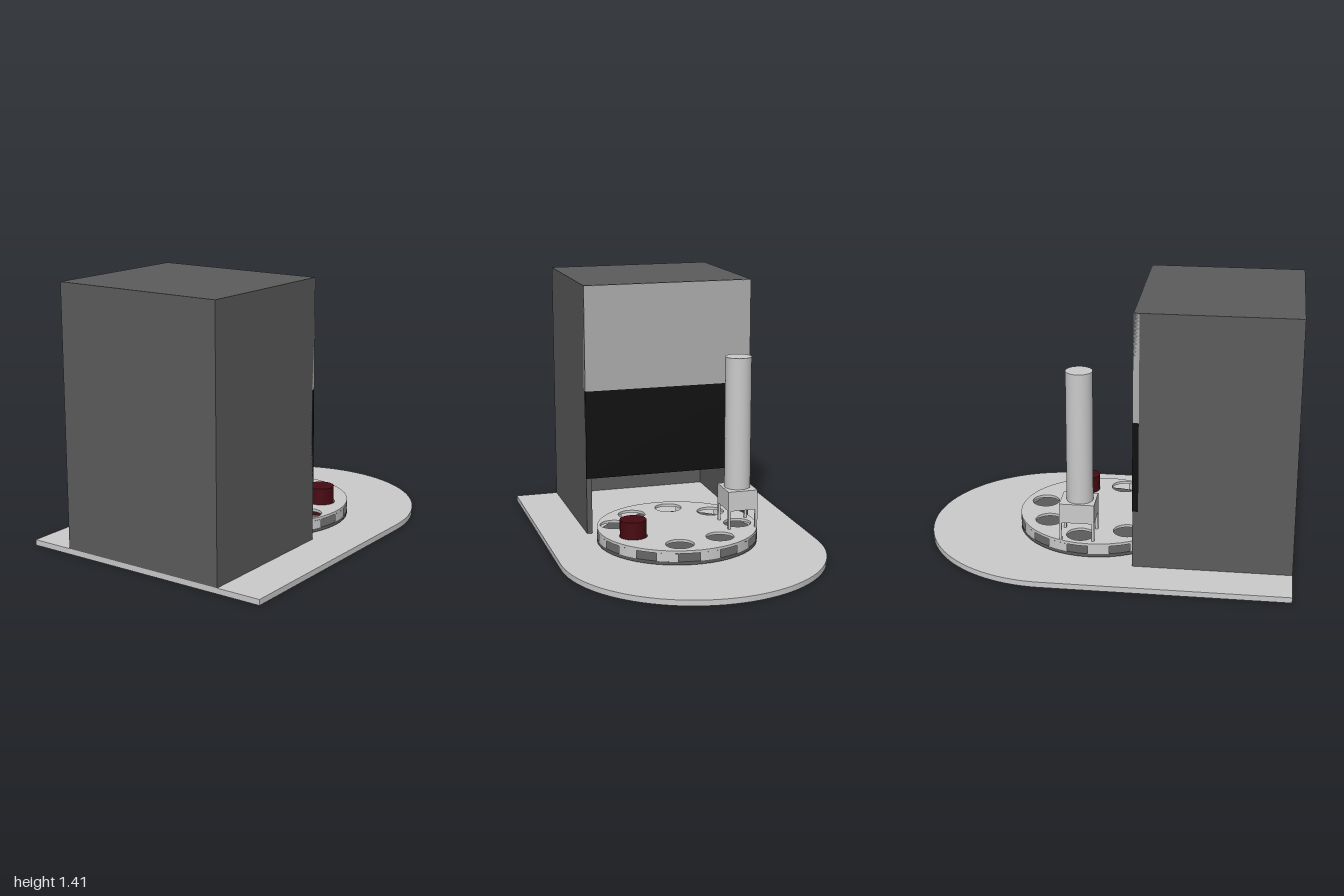
import * as THREE from 'three';

const paint = (color) => new THREE.MeshStandardMaterial({ color, side: THREE.DoubleSide });
const grey = paint(0xcccccc);
const dark = paint(0x5c5c5c);
const panelGrey = paint(0xacacac);
const black = paint(0x0f0f0f);
const red = paint(0x480a12);

function add(parent, name, geometry, material, x = 0, y = 0, z = 0) {
  const mesh = new THREE.Mesh(geometry, material);
  mesh.name = name;
  mesh.position.set(x, y, z);
  parent.add(mesh);
  return mesh;
}

// Box given by its minimum and maximum corners
function box(parent, name, material, [x0, y0, z0], [x1, y1, z1]) {
  return add(parent, name, new THREE.BoxGeometry(x1 - x0, y1 - y0, z1 - z0), material,
    (x0 + x1) / 2, (y0 + y1) / 2, (z0 + z1) / 2);
}

// Flat shape in (x, z) raised from y to y + height
function slab(parent, name, shape, material, y, height, x = 0, z = 0) {
  const geometry = new THREE.ExtrudeGeometry(shape, { depth: height, bevelEnabled: false, curveSegments: 24 });
  geometry.rotateX(-Math.PI / 2);
  return add(parent, name, geometry, material, x, y, z);
}

function createCabinet() {
  const g = new THREE.Group();
  g.name = 'cabinet';
  const x0 = -1, x1 = -0.165, y0 = 0.03, y1 = 1.41, z0 = -0.475, z1 = 0.468, t = 0.03;
  box(g, 'cabinetFrontWall', dark, [x0, y0, z1 - t], [x1, y1, z1]);
  box(g, 'cabinetRearWall', dark, [x0, y0, z0], [x1, y1, z0 + t]);
  box(g, 'cabinetEndWall', dark, [x0, y0, z0 + t], [x0 + t, y1, z1 - t]);
  box(g, 'cabinetRoof', dark, [x0 + t, y1 - t, z0 + t], [x1, y1, z1 - t]);
  // Panels facing the turntable, above the open bay
  box(g, 'upperPanel', panelGrey, [x1 - t, 0.835, z0], [x1 + 0.002, y1 - 0.002, z1]);
  box(g, 'displayPanel', black, [x1 - t, 0.345, z0], [x1 + 0.002, 0.835, z1]);
  return g;
}

function createTurntable() {
  const g = new THREE.Group();
  g.name = 'turntable';
  const cx = 0.075, cz = 0.022, r = 0.436;
  g.position.set(cx, 0, cz);
  add(g, 'turntableFloor', new THREE.CylinderGeometry(r, r, 0.018, 48), dark, 0, 0.047, 0);

  // Top plate with a ring of eight cup holes
  const plate = new THREE.Shape().absarc(0, 0, r, 0, Math.PI * 2, false);
  const holes = [[-0.11, -0.23], [0.133, -0.305], [0.33, -0.14], [0.39, 0.10],
    [0.187, 0.297], [-0.03, 0.35], [-0.18, 0.21], [-0.24, -0.02]];
  for (const [x, z] of holes) {
    plate.holes.push(new THREE.Path().absarc(x - cx, cz - z, 0.075, 0, Math.PI * 2, true));
  }
  slab(g, 'turntablePlate', plate, grey, 0.1, 0.015);

  // Rim panels with windows between them
  const count = 12, panel = THREE.MathUtils.degToRad(15);
  for (let i = 0; i < count; i++) {
    const middle = THREE.MathUtils.degToRad(67 + i * 30);
    add(g, 'rimPanel', new THREE.CylinderGeometry(r, r, 0.044, 3, 1, true, middle - panel / 2, panel),
      grey, 0, 0.078, 0);
  }
  return g;
}

function createDispenser() {
  const g = new THREE.Group();
  g.name = 'dispenser';
  const x0 = 0.048, x1 = 0.234, z0 = -0.385, z1 = -0.22, t = 0.013;
  box(g, 'dispenserBlock', grey, [x0, 0.215, z0], [x1, 0.323, z1]);
  for (const x of [x0, x1 - t]) {
    for (const z of [z0, z1 - t]) box(g, 'dispenserLeg', grey, [x, 0.115, z], [x + t, 0.215, z + t]);
  }
  add(g, 'dispenserTube', new THREE.CylinderGeometry(0.071, 0.071, 0.72, 24), grey, 0.134, 0.682, -0.303);
  return g;
}

export function createModel() {
  const model = new THREE.Group();
  model.name = 'carouselMachine';

  // Base plate with one rounded end
  const base = new THREE.Shape();
  base.moveTo(-1, -0.713);
  base.lineTo(0.287, -0.713);
  base.absarc(0.287, 0, 0.713, -Math.PI / 2, Math.PI / 2, false);
  base.lineTo(-1, 0.713);
  base.closePath();
  slab(model, 'basePlate', base, grey, 0, 0.03);

  model.add(createCabinet(), createTurntable(), createDispenser());
  add(model, 'turntableHub', new THREE.CylinderGeometry(0.06, 0.06, 0.01, 24), dark, 0.075, 0.034, 0.022);
  add(model, 'cup', new THREE.CylinderGeometry(0.071, 0.071, 0.149, 24), red, 0.182, 0.1305, 0.297);
  return model;
}
